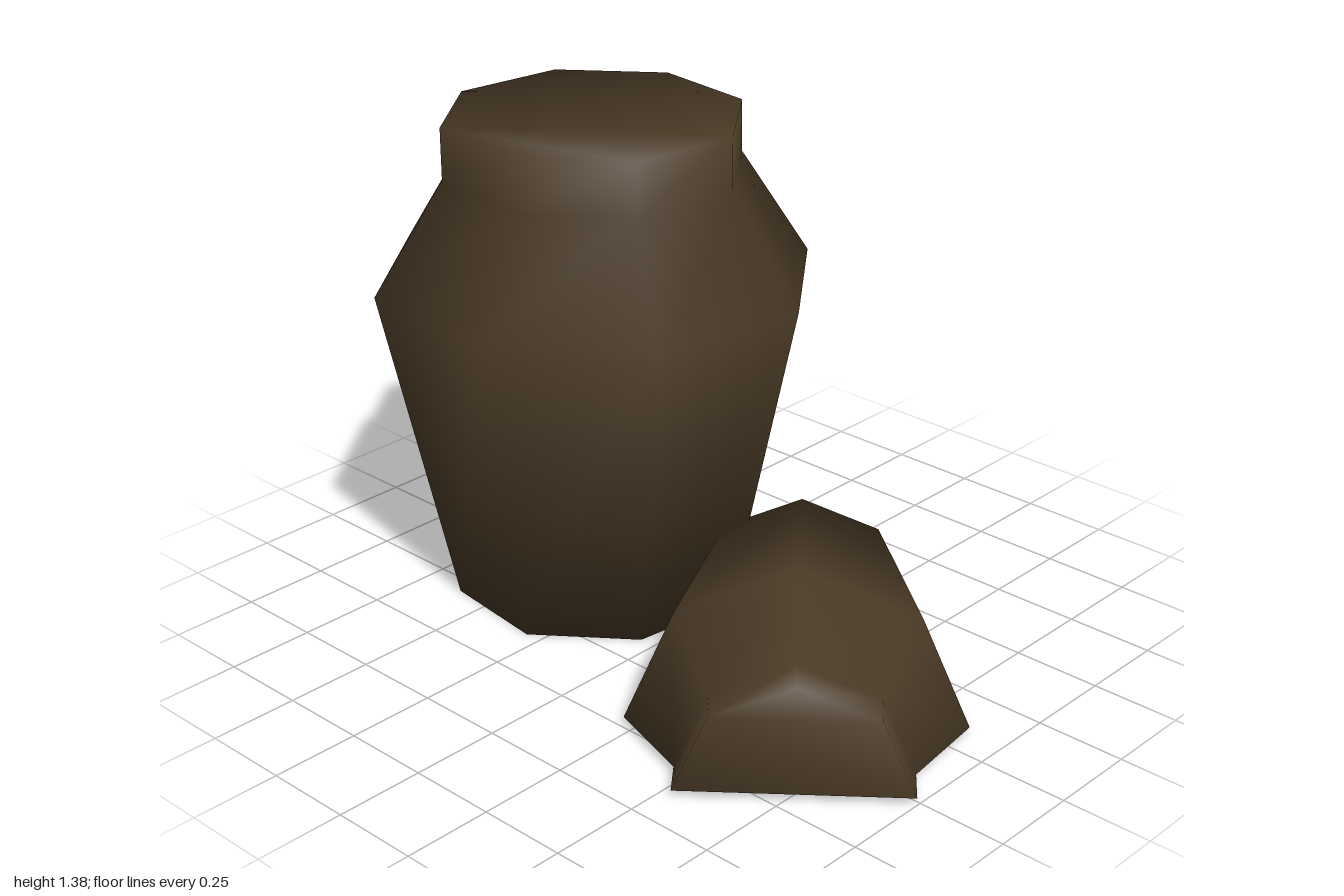
import * as THREE from 'three';

// Jar outline as [radius, height] rings: foot, belly, shoulder, rim
const PROFILE = [[0.416, 0], [0.613, 0.925], [0.416, 1.235], [0.416, 1.38]];

// Smooth normal of each ring, averaged from the outline segments that meet there
function ringNormals() {
  const outline = [[0, 0], ...PROFILE, [0, 1.38]].map(([r, h]) => new THREE.Vector2(r, h));
  const segments = outline.slice(1).map((p, i) => {
    const d = p.clone().sub(outline[i]).normalize();
    return new THREE.Vector2(d.y, -d.x);
  });
  return PROFILE.map((_, i) => segments[i].clone().add(segments[i + 1]).normalize());
}

// Jar wall with foot and rim caps; the wall is left open lengthwise unless closed
function jarGeometry(angles, closed) {
  const n = angles.length;
  const positions = [];
  const normals = [];
  const index = [];
  const slopes = ringNormals();
  PROFILE.forEach(([r, h], i) => {
    for (const t of angles) {
      positions.push(r * Math.cos(t), h, r * Math.sin(t));
      normals.push(slopes[i].x * Math.cos(t), slopes[i].y, slopes[i].x * Math.sin(t));
    }
  });
  const rim = (PROFILE.length - 1) * n;

  // Wall
  for (let j = 0; j < (closed ? n : n - 1); j++) {
    for (let row = 0; row < rim; row += n) {
      const a = row + j, b = row + ((j + 1) % n);
      index.push(a, a + n, b, b, a + n, b + n);
    }
  }

  // Caps, cut into parallel strips
  for (let lo = 0, hi = n - 1; lo + 1 < hi; lo++, hi--) {
    index.push(lo, lo + 1, hi, rim + lo, rim + hi, rim + lo + 1);
    if (lo + 1 < hi - 1) {
      index.push(lo + 1, hi - 1, hi, rim + lo + 1, rim + hi, rim + hi - 1);
    }
  }

  const geometry = new THREE.BufferGeometry();
  geometry.setAttribute('position', new THREE.Float32BufferAttribute(positions, 3));
  geometry.setAttribute('normal', new THREE.Float32BufferAttribute(normals, 3));
  geometry.setIndex(index);
  return geometry;
}

export function createModel() {
  const group = new THREE.Group();
  group.name = 'jars';
  const clay = new THREE.MeshStandardMaterial({ color: 0x4a3a26, side: THREE.DoubleSide });
  clay.name = 'dark brown clay';

  // Whole eight-sided jar, standing
  const turn = THREE.MathUtils.degToRad(254.8);
  const whole = Array.from({ length: 8 }, (_, i) => turn + (i * Math.PI) / 4);
  const jar = new THREE.Mesh(jarGeometry(whole, true), clay);
  jar.name = 'standingJar';
  jar.position.set(-0.409, 0, -0.058);
  group.add(jar);

  // Smaller half jar, hollow underneath, lying with its rim towards the front left
  const half = Array.from({ length: 5 }, (_, i) => (i * Math.PI) / 4);
  const fallen = new THREE.Mesh(jarGeometry(half, false), clay);
  fallen.name = 'halfJar';
  const axis = new THREE.Vector3(0.64, 0, 0.77).normalize();
  const up = new THREE.Vector3(0, 1, 0);
  const side = new THREE.Vector3().crossVectors(axis, up);
  fallen.quaternion.setFromRotationMatrix(new THREE.Matrix4().makeBasis(side, axis, up));
  fallen.position.set(0.13, 0.022, -0.312);
  fallen.scale.setScalar(0.725);
  group.add(fallen);

  return group;
}
